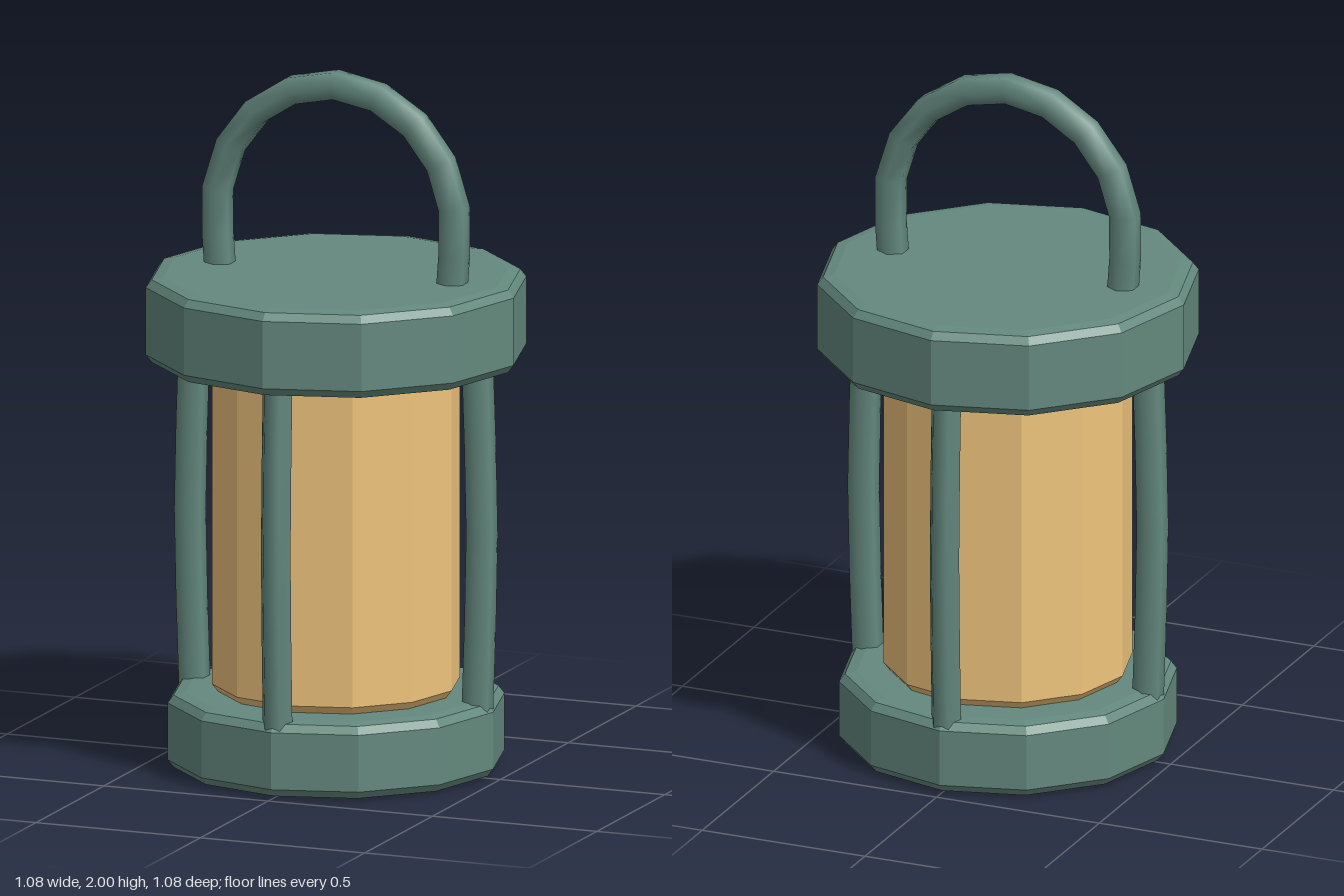
import * as THREE from 'three';

const green = new THREE.MeshStandardMaterial({ color: 0x64897e, flatShading: true });
const greenSmooth = new THREE.MeshStandardMaterial({ color: 0x64897e });
const amber = new THREE.MeshStandardMaterial({ color: 0xefc47c, flatShading: true });

// Twelve-sided drum with softened rims
function drum(name, radius, y0, y1, material) {
  const half = [[radius - 0.05, 0], [radius - 0.017, 0.006], [radius, 0.028]];
  const points = [
    [0, y0],
    ...half.map(([r, d]) => [r, y0 + d]),
    ...half.map(([r, d]) => [r, y1 - d]).reverse(),
    [0, y1],
  ].map(([r, y]) => new THREE.Vector2(r, y));
  const mesh = new THREE.Mesh(new THREE.LatheGeometry(points, 12), material);
  mesh.name = name;
  return mesh;
}

// Six-sided rod swept along points in the xy plane
function rod(name, points, segments) {
  const curve = new THREE.CatmullRomCurve3(points.map(([x, y]) => new THREE.Vector3(x, y, 0)));
  const mesh = new THREE.Mesh(new THREE.TubeGeometry(curve, segments, 0.045, 6), greenSmooth);
  mesh.name = name;
  return mesh;
}

export function createModel() {
  const lantern = new THREE.Group();
  lantern.name = 'lantern';

  // Base, glass and lid
  lantern.add(
    drum('base', 0.478, 0, 0.22, green),
    drum('glass', 0.352, 0.215, 1.175, amber),
    drum('lid', 0.54, 1.17, 1.42, green),
  );

  // Four slightly bowed posts around the glass
  for (let i = 0; i < 4; i++) {
    const post = rod('post', [[0.43, 0.19], [0.444, 0.7], [0.43, 1.21]], 4);
    post.rotation.y = i * Math.PI / 2;
    lantern.add(post);
  }

  // Arched carrying handle
  const side = [[0.35, 1.37], [0.36, 1.63], [0.315, 1.77], [0.228, 1.876], [0.115, 1.941]];
  const arch = [...side, [0, 1.961], ...side.map(([x, y]) => [-x, y]).reverse()];
  lantern.add(rod('handle', arch, 12));

  return lantern;
}
